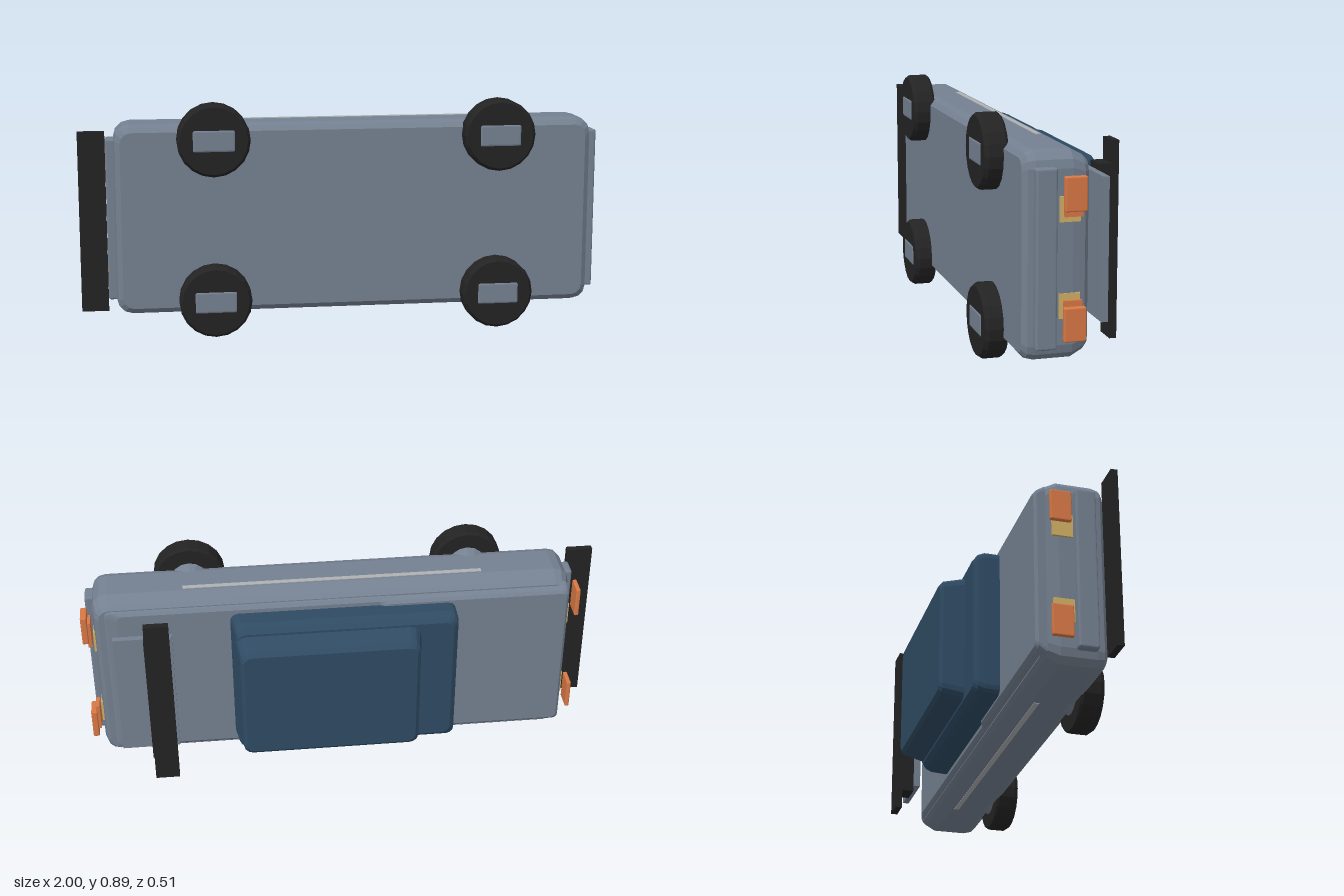
import * as THREE from 'three';
import { RoundedBoxGeometry } from 'three/addons/geometries/RoundedBoxGeometry.js';

const material = (name, color) => {
  const m = new THREE.MeshStandardMaterial({ color });
  m.name = name;
  m.flatShading = true;
  return m;
};

// Rounded rectangle outline in the xy plane, counter-clockwise
function outline(x0, x1, y0, y1, r, z) {
  const points = [];
  const corners = [[x1 - r, y0 + r, -90], [x1 - r, y1 - r, 0], [x0 + r, y1 - r, 90], [x0 + r, y0 + r, 180]];
  for (const [cx, cy, start] of corners) {
    for (let k = 0; k <= 3; k++) {
      const a = THREE.MathUtils.degToRad(start + k * 30);
      points.push([cx + r * Math.cos(a), cy + r * Math.sin(a), z]);
    }
  }
  return points;
}

// Loft through layers [z, x0, x1, y half-width, corner radius], in rising z
function loft(layers) {
  const mid = 0.447;
  const rings = layers.map(([z, x0, x1, h, r]) => outline(x0, x1, mid - h, mid + h, r, z));
  const n = rings[0].length;
  const positions = rings.flat(2);
  const index = [];
  for (let i = 0; i < rings.length - 1; i++) {
    for (let j = 0; j < n; j++) {
      const a = i * n + j, b = i * n + (j + 1) % n;
      index.push(a, b, b + n, a, b + n, a + n);
    }
  }
  const last = (rings.length - 1) * n;
  for (let j = 1; j < n - 1; j++) {
    index.push(0, j + 1, j, last, last + j, last + j + 1);
  }
  const g = new THREE.BufferGeometry();
  g.setAttribute('position', new THREE.Float32BufferAttribute(positions, 3));
  g.setIndex(index);
  const flat = g.toNonIndexed();
  flat.computeVertexNormals();
  return flat;
}

export function createModel() {
  const group = new THREE.Group();
  const paint = material('body grey', 0x748090);
  const glass = material('cabin blue', 0x2f4b63);
  const black = material('rubber black', 0x232323);
  const orange = material('light orange', 0xd87845);
  const yellow = material('light yellow', 0xcfae64);
  const trim = material('trim silver', 0xaeb0b2);

  const add = (name, geometry, mat) => {
    const mesh = new THREE.Mesh(geometry, mat);
    mesh.name = name;
    group.add(mesh);
    return mesh;
  };
  // Box given by its extents; r rounds the edges
  const box = (name, mat, x0, x1, y0, y1, z0, z1, r = 0) => {
    const size = [x1 - x0, y1 - y0, z1 - z0];
    const g = r ? new RoundedBoxGeometry(...size, 2, r) : new THREE.BoxGeometry(...size);
    add(name, g, mat).position.set((x0 + x1) / 2, (y0 + y1) / 2, (z0 + z1) / 2);
  };

  // Body shell, hood and rear deck
  add('body', loft([
    [-0.045, -0.85, 0.93, 0.325, 0.04],
    [-0.03, -0.86, 0.945, 0.338, 0.05],
    [0.015, -0.87, 0.955, 0.362, 0.06],
    [0.145, -0.87, 0.955, 0.362, 0.06],
    [0.172, -0.865, 0.95, 0.353, 0.05],
    [0.188, -0.845, 0.93, 0.335, 0.04],
  ]), paint);
  add('hood', loft([
    [-0.07, -0.85, -0.15, 0.298, 0.02],
    [-0.06, -0.86, -0.13, 0.31, 0.02],
    [-0.03, -0.86, -0.1, 0.33, 0.02],
  ]), paint);
  add('rearDeck', loft([
    [-0.06, -0.2, 0.86, 0.305, 0.02],
    [-0.05, -0.2, 0.9, 0.318, 0.02],
    [-0.03, -0.2, 0.93, 0.33, 0.02],
  ]), paint);

  // Cabin: wide lower part and narrower roof
  add('lowerCabin', loft([
    [-0.165, -0.40, 0.415, 0.262, 0.03],
    [-0.15, -0.418, 0.423, 0.28, 0.03],
    [-0.125, -0.42, 0.428, 0.29, 0.03],
    [-0.05, -0.42, 0.44, 0.29, 0.03],
  ]), glass);
  add('roof', loft([
    [-0.257, -0.25, 0.40, 0.22, 0.03],
    [-0.245, -0.263, 0.413, 0.235, 0.035],
    [-0.16, -0.275, 0.424, 0.255, 0.04],
    [-0.1, -0.275, 0.432, 0.26, 0.04],
  ]), glass);

  // Bumpers and front splitter
  box('frontBumper', paint, -0.9, -0.85, 0.14, 0.755, 0.07, 0.145, 0.008);
  box('rearBumper', paint, 0.93, 0.983, 0.137, 0.757, 0.078, 0.153, 0.008);
  box('splitter', black, -1, -0.9, 0.11, 0.79, 0.167, 0.192);

  // Rear wing stack
  box('wingBase', paint, 0.66, 0.88, 0.19, 0.7, -0.138, -0.114);
  box('wingSupport', black, 0.675, 0.765, 0.172, 0.722, -0.185, -0.139);
  box('wing', black, 0.668, 0.76, 0.092, 0.802, -0.214, -0.188);

  // Parts mirrored across the car's middle
  for (const s of [-1, 1]) {
    const pair = (name, mat, x0, x1, inner, outer, z0, z1, r) => {
      const a = 0.447 + s * inner, b = 0.447 + s * outer;
      box(name, mat, x0, x1, Math.min(a, b), Math.max(a, b), z0, z1, r);
    };
    pair('rearLight', orange, 0.976, 1, 0.163, 0.282, -0.02, 0.058, 0.005);
    pair('rearLightMount', orange, 0.965, 0.98, 0.143, 0.25, -0.01, 0.052);
    pair('rearLamp', yellow, 0.95, 0.958, 0.122, 0.21, -0.01, 0.065);
    pair('frontLight', orange, -0.915, -0.898, 0.163, 0.282, -0.028, 0.05, 0.005);
    pair('frontLamp', yellow, -0.878, -0.865, 0.122, 0.21, -0.01, 0.065);
    pair('sideStripe', trim, -0.53, 0.61, 0.358, 0.364, 0.022, 0.042);

    // Wheels with hub plates and axles
    for (const x of [-0.5, 0.582]) {
      const y = 0.449 + s * 0.306;
      const profile = [[0, -0.043], [0.13, -0.043], [0.137, -0.034], [0.137, 0.028], [0.126, 0.043], [0, 0.043]]
        .map(([r, h]) => new THREE.Vector2(r, h));
      const wheel = add('wheel', new THREE.LatheGeometry(profile, 20), black);
      wheel.rotation.x = Math.PI / 2;
      wheel.position.set(x, y, 0.211);
      const axle = add('axle', new THREE.CylinderGeometry(0.075, 0.05, 0.04, 16), paint);
      axle.rotation.x = Math.PI / 2;
      axle.position.set(x, y, 0.15);
      box('hubPlate', paint, x - 0.08, x + 0.08, y - 0.042, y + 0.042, 0.235, 0.257, 0.009);
    }
  }
  return group;
}
